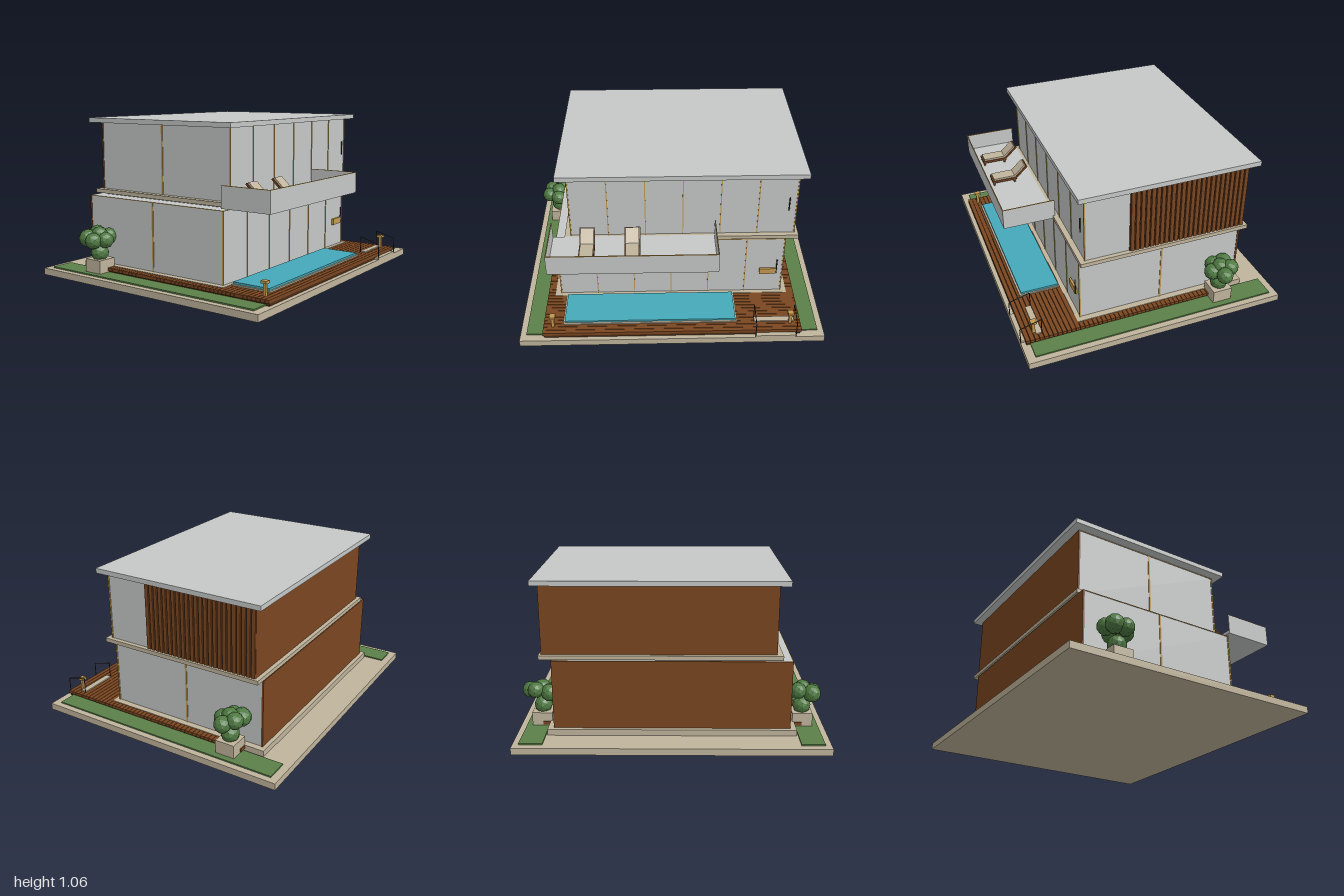
import * as THREE from 'three';

const mat = (name, color) => Object.assign(new THREE.MeshStandardMaterial({ color }), { name });

export function createModel() {
  const stone = mat('stone', 0xc0b49c);
  const panel = mat('pale panel', 0xc6c9c8);
  const wood = mat('wood', 0x7a4620);
  const darkWood = mat('dark wood', 0x4a2a14);
  const brass = mat('brass', 0xc29a50);
  const grass = mat('grass', 0x5a8048);
  const leaf = mat('leaf', 0x4f7a42);
  leaf.flatShading = true;
  const water = mat('water', 0x45a9ba);
  const metal = mat('dark metal', 0x3c3020);

  const house = new THREE.Group();
  house.name = 'house';

  // Box given by its limits on each axis
  function box(name, m, x0, x1, y0, y1, z0, z1, parent = house) {
    const mesh = new THREE.Mesh(new THREE.BoxGeometry(x1 - x0, y1 - y0, z1 - z0), m);
    mesh.position.set((x0 + x1) / 2, (y0 + y1) / 2, (z0 + z1) / 2);
    mesh.name = name;
    parent.add(mesh);
    return mesh;
  }
  // Thin round bar between two points
  function bar(name, m, a, b, r = 0.003) {
    const p = new THREE.Vector3(...a), q = new THREE.Vector3(...b);
    const mesh = new THREE.Mesh(new THREE.CylinderGeometry(r, r, p.distanceTo(q), 8), m);
    mesh.position.copy(p).add(q).multiplyScalar(0.5);
    mesh.quaternion.setFromUnitVectors(new THREE.Vector3(0, 1, 0), q.sub(p).normalize());
    mesh.name = name;
    house.add(mesh);
  }

  // Plot and lawns
  box('plot', stone, -1, 1, 0, 0.045, -0.88, 0.875);
  for (const s of [-1, 1]) box('lawn', grass, s * 0.885 - 0.075, s * 0.885 + 0.075, 0.045, 0.054, -0.83, 0.82);

  // Plank deck around the raised foundation
  box('deckBase', darkWood, -0.84, 0.84, 0.045, 0.076, -0.55, 0.845);
  const planks = 47, step = 1.41 / planks;
  for (let i = 0; i < planks; i++) {
    const z = -0.56 + i * step;
    box('deckPlank', wood, -0.85, 0.85, 0.062, 0.083, z, z + step - 0.003);
  }
  box('foundation', stone, -0.8, 0.8, 0.045, 0.086, -0.69, 0.49);

  // Pool
  box('poolRim', stone, -0.72, 0.43, 0.07, 0.092, 0.495, 0.772);
  box('poolWater', water, -0.71, 0.42, 0.09, 0.105, 0.5, 0.76);

  // One storey: pale walls, timber back, brass posts and mullions
  function storey(name, x0, x1, y0, y1, z0, z1, sideZ) {
    const g = new THREE.Group();
    g.name = name;
    house.add(g);
    box('walls', panel, x0 + 0.004, x1 - 0.004, y0, y1, z0 + 0.01, z1 - 0.004, g);
    box('backWall', wood, x0, x1, y0, y1, z0, z0 + 0.012, g);
    for (let i = 0; i <= 6; i++) {
      const x = x0 + 0.004 + (x1 - x0 - 0.008) * i / 6, w = i % 6 ? 0.003 : 0.004;
      box('frontMullion', brass, x - w, x + w, y0, y1, z1 - 0.01, z1, g);
    }
    for (const x of [x0, x1 - 0.005]) {
      box('sideMullion', brass, x, x + 0.005, y0, y1, sideZ - 0.006, sideZ + 0.006, g);
      box('topTrim', brass, x, x + 0.005, y1 - 0.004, y1, z0 + 0.012, z1, g);
    }
    box('topTrim', brass, x0, x1, y1 - 0.004, y1, z1 - 0.005, z1, g);
    return g;
  }
  storey('groundFloor', -0.762, 0.762, 0.086, 0.54, -0.663, 0.465, -0.1);
  const upper = storey('upperFloor', -0.662, 0.816, 0.576, 1.031, -0.64, 0.444, -0.1);

  // Timber slats on the upper right side
  box('slatBacking', wood, 0.81, 0.818, 0.576, 1.031, -0.64, 0.15, upper);
  for (let i = 0; i < 24; i++) {
    const z = -0.638 + i * 0.033;
    box('slat', wood, 0.815, 0.826, 0.576, 1.031, z, z + 0.024, upper);
    box('slatGap', darkWood, 0.815, 0.819, 0.576, 1.031, z + 0.024, z + 0.029, upper);
  }

  // Floor slab and roof
  box('slabCore', panel, -0.66, 0.74, 0.538, 0.553, -0.62, 0.43);
  box('floorSlab', stone, -0.7, 0.84, 0.55, 0.577, -0.667, 0.476);
  box('roof', panel, -0.725, 0.866, 1.03, 1.062, -0.695, 0.492);

  // Balcony with solid parapets and brass caps
  box('balconyFloor', panel, -0.78, 0.29, 0.556, 0.58, 0.462, 0.808);
  for (const [x0, x1, z0, z1] of [[-0.78, -0.774, 0.462, 0.808], [0.284, 0.29, 0.462, 0.808], [-0.774, 0.284, 0.802, 0.808]]) {
    box('parapet', panel, x0, x1, 0.578, 0.692, z0, z1);
    box('parapetCap', brass, x0, x1, 0.692, 0.696, z0, z1);
  }

  // Sunbeds with a raised back
  for (const x of [-0.54, -0.25]) {
    const bed = new THREE.Group();
    bed.name = 'sunbed';
    bed.position.set(x, 0.58, 0);
    house.add(bed);
    box('frame', wood, -0.05, 0.05, 0.02, 0.035, 0.585, 0.755, bed);
    box('cushion', stone, -0.043, 0.043, 0.035, 0.048, 0.585, 0.745, bed);
    for (const lx of [-0.042, 0.042]) for (const lz of [0.6, 0.745])
      box('leg', wood, lx - 0.006, lx + 0.006, 0, 0.022, lz - 0.006, lz + 0.006, bed);
    const back = new THREE.Group();
    back.name = 'backrest';
    back.position.set(0, 0.03, 0.592);
    back.rotation.x = 0.75;
    bed.add(back);
    box('backFrame', wood, -0.05, 0.05, -0.006, 0.006, -0.115, 0, back);
    box('backCushion', stone, -0.043, 0.043, 0.006, 0.018, -0.11, 0, back);
  }

  // Front door handles and mailbox
  bar('lowerHandle', metal, [0.717, 0.25, 0.475], [0.717, 0.365, 0.475], 0.004);
  bar('upperHandle', metal, [0.762, 0.76, 0.45], [0.762, 0.86, 0.45], 0.004);
  box('mailbox', brass, 0.602, 0.715, 0.245, 0.29, 0.464, 0.478);

  // Entry steps and handrails
  box('entryStep', stone, 0.545, 0.81, 0.07, 0.09, 0.73, 0.77);
  box('lowerStep', stone, 0.545, 0.81, 0.045, 0.058, 0.84, 0.875);
  for (const x of [0.545, 0.81]) {
    bar('railPost', metal, [x, 0.045, 0.873], [x, 0.157, 0.873]);
    bar('railPost', metal, [x, 0.08, 0.733], [x, 0.196, 0.733]);
    bar('handrail', metal, [x, 0.157, 0.873], [x, 0.196, 0.733]);
  }

  // Garden lamps
  for (const x of [-0.785, 0.78]) {
    box('lampPost', brass, x - 0.01, x + 0.01, 0.08, 0.162, 0.77, 0.79);
    box('lampHead', brass, x - 0.019, x + 0.019, 0.158, 0.174, 0.758, 0.798);
  }

  // Potted trees: trunk and faceted leaf clusters
  const blobs = [[0, 0.18, 0, 0.06], [-0.055, 0.28, -0.05, 0.06], [0.035, 0.3, -0.055, 0.055], [0.08, 0.28, 0.005, 0.055],
    [0, 0.27, 0.055, 0.055], [-0.07, 0.27, 0.015, 0.055], [0, 0.3, 0, 0.055]];
  for (const x of [-0.855, 0.855]) {
    const tree = new THREE.Group();
    tree.name = 'pottedTree';
    tree.position.set(x, 0, -0.487);
    house.add(tree);
    box('planter', stone, -0.066, 0.066, 0.054, 0.142, -0.066, 0.066, tree);
    const trunk = new THREE.Mesh(new THREE.CylinderGeometry(0.01, 0.014, 0.14, 8), darkWood);
    trunk.position.y = 0.2;
    trunk.name = 'trunk';
    tree.add(trunk);
    for (const [bx, by, bz, r] of blobs) {
      const blob = new THREE.Mesh(new THREE.IcosahedronGeometry(r, 1), leaf);
      blob.position.set(bx, by, bz);
      blob.name = 'foliage';
      tree.add(blob);
    }
  }
  return house;
}
